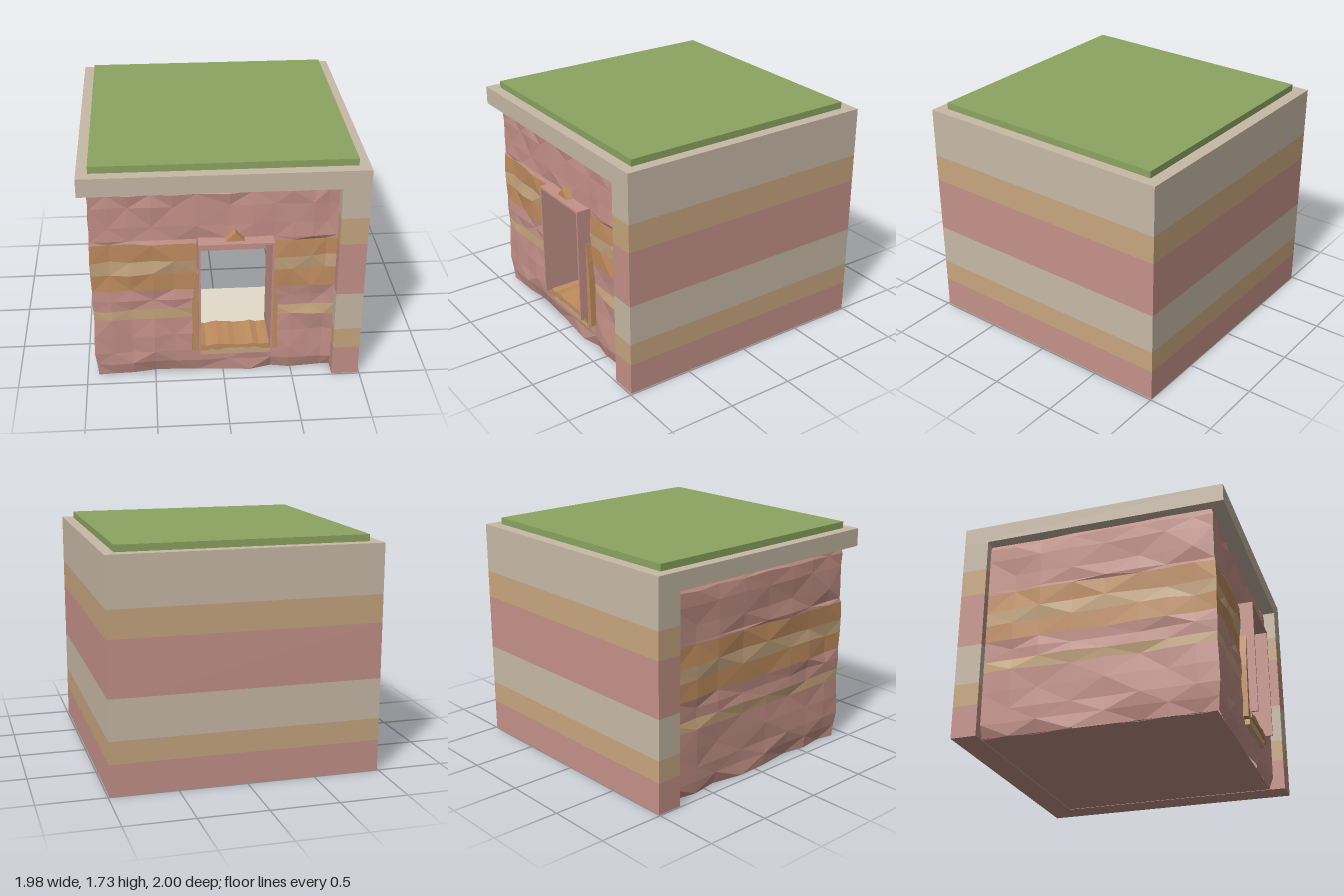
import * as THREE from 'three';

const mat = (name, color, extra = {}) => {
  const m = new THREE.MeshStandardMaterial({ color, ...extra });
  m.name = name;
  return m;
};

export function createModel() {
  const root = new THREE.Group();
  root.name = 'cliffBlock';
  const beige = mat('beigeStone', 0xc8b9a7);
  const tan = mat('tanStone', 0xc8a67f);
  const pink = mat('pinkStone', 0xc59289);
  const orange = mat('orangeStone', 0xc08d5f);
  const green = mat('grass', 0x8ca561);
  const cream = mat('creamFloor', 0xe4dccb);

  const add = (name, geo, material, parent = root) => {
    const m = new THREE.Mesh(geo, material);
    m.name = name;
    parent.add(m);
    return m;
  };
  // Box given by its two opposite corners
  const box = (name, a, b, material, parent) => {
    const g = new THREE.BoxGeometry(b[0] - a[0], b[1] - a[1], b[2] - a[2]);
    g.translate((a[0] + b[0]) / 2, (a[1] + b[1]) / 2, (a[2] + b[2]) / 2);
    return add(name, g, material, parent);
  };
  // Outline in x and y, extruded between two depths
  const slab = (name, pts, z0, z1, material, parent) => {
    const s = new THREE.Shape(pts.map(p => new THREE.Vector2(...p)));
    const g = new THREE.ExtrudeGeometry(s, { depth: z1 - z0, bevelEnabled: false });
    g.translate(0, 0, z0);
    return add(name, g, material, parent);
  };
  const noise = (i, j, k) => {
    const s = Math.sin(i * 127.1 + j * 311.7 + k * 74.7) * 43758.5453;
    return (s - Math.floor(s)) * 2 - 1;
  };

  // Layered walls along the right and the back
  const layers = [[0, 0.235, pink], [0.235, 0.4, tan], [0.4, 0.7, beige],
    [0.7, 1.11, pink], [1.11, 1.315, tan], [1.315, 1.545, beige]];
  const walls = new THREE.Group();
  walls.name = 'layeredWalls';
  root.add(walls);
  layers.forEach(([y0, y1, m], i) => {
    box('rightWallLayer' + i, [0.795, y0, -1], [0.99, y1, 0.99], m, walls);
    box('backWallLayer' + i, [-0.99, y0, -1], [0.795, y1, -0.81], m, walls);
  });

  // Roof slab and grass
  box('roofSlab', [-0.99, 1.545, -1], [0.99, 1.68, 0.99], beige);
  box('grassTop', [-0.91, 1.68, -0.91], [0.91, 1.73, 0.91], green);

  // Rough cliff skin: plan points (x, z, outward x, outward z) and rows with band colours
  const plan = [
    ...[-0.81, -0.6, -0.4, -0.15, 0.1, 0.35, 0.55, 0.75].map(z => [-0.93, z, -1, 0]),
    [-0.93, 0.9, -0.7, 0.7],
    ...[-0.8, -0.66, -0.5, -0.35, -0.19, 0.04, 0.2, 0.355, 0.48, 0.62, 0.72, 0.795].map(x => [x, 0.9, 0, 1]),
  ];
  const rows = [[0, pink], [0.1, pink], [0.2, pink], [0.34, pink], [0.49, tan], [0.57, pink],
    [0.65, pink], [0.73, orange], [0.87, tan], [0.975, orange], [1.115, pink], [1.14, pink],
    [1.25, pink], [1.4, pink], [1.5, pink], [1.54, pink]];
  const fixedRows = [0, 0.2, 1.14, 1.54];
  const point = (i, j) => {
    const [x, z, nx, nz] = plan[i];
    const y = rows[j][0];
    const end = i === 0 || i === plan.length - 1;
    let out = end ? 0 : 0.012 * noise(i, j, 1);
    if (j === 0) out -= 0.025 + 0.025 * noise(i, 0, 2);
    if (y > 1.52) out -= 0.02;
    const lift = fixedRows.includes(y) ? 0 : 0.008 * noise(i, j, 3);
    return [x + nx * out, y + lift, z + nz * out];
  };
  const skins = new Map([[pink, []], [tan, []], [orange, []]]);
  for (let i = 0; i < plan.length - 1; i++) {
    for (let j = 0; j < rows.length - 1; j++) {
      const [x, z] = plan[i], y = rows[j][0];
      const doorway = z === 0.9 && x > -0.2 && x < 0.35 && y >= 0.2 && y < 1.14;
      if (doorway) continue;
      const a = point(i, j), b = point(i + 1, j), c = point(i + 1, j + 1), d = point(i, j + 1);
      const tri = (i + j) % 2 ? [a, b, c, a, c, d] : [a, b, d, b, c, d];
      skins.get(rows[j][1]).push(...tri.flat());
    }
  }
  const cliff = new THREE.Group();
  cliff.name = 'cliff';
  root.add(cliff);
  for (const [m, pos] of skins) {
    const g = new THREE.BufferGeometry();
    g.setAttribute('position', new THREE.Float32BufferAttribute(pos, 3));
    g.computeVertexNormals();
    add('cliffBand_' + m.name, g, m, cliff);
  }
  // Underside of the cliff
  const base = new THREE.PlaneGeometry(1.7, 1.68);
  base.rotateX(Math.PI / 2);
  base.translate(-0.055, 0.003, 0.035);
  add('cliffUnderside', base, pink, cliff);

  // Door frame with deep jambs
  const door = new THREE.Group();
  door.name = 'doorway';
  root.add(door);
  box('leftJamb', [0.33, 0.27, 0.62], [0.345, 1.15, 1], pink, door);
  box('rightJamb', [-0.183, 0.27, 0.62], [-0.168, 1.15, 1], pink, door);
  box('lintel', [-0.168, 1.135, 0.62], [0.33, 1.15, 1], pink, door);

  // Carved surround either side of the frame, mirrored about the door's middle
  const mid = 0.08;
  for (const s of [-1, 1]) {
    const flare = [[0.225, 0.22], [0.31, 0.22], [0.302, 0.62], [0.29, 0.74], [0.268, 0.88], [0.255, 0.88], [0.255, 0.27], [0.225, 0.27]];
    slab(s > 0 ? 'leftSurround' : 'rightSurround', flare.map(([x, y]) => [mid + s * x, y]), 0.86, 0.94, orange, door);
  }
  slab('surroundPeak', [[0, 1.14], [0.15, 1.14], [0.075, 1.215]], 0.87, 0.96, orange, door);

  // Broken sill with a jagged upper edge
  const edge = [], lower = [];
  for (let k = 0; k <= 12; k++) {
    const x = -0.17 + k * 0.0425;
    edge.push([x, 0.272 + 0.012 * noise(k, 5, 1)]);
    lower.unshift([x, 0.235 + 0.012 * noise(k, 8, 2)]);
  }
  slab('sillEdge', [...lower, ...edge].reverse(), 0.66, 0.95, orange, door);
  box('sill', [-0.17, 0.18, 0.64], [0.34, 0.24, 0.935], tan, door);

  // Floor just inside the doorway
  box('innerFloor', [-0.55, 0.12, 0.1], [0.45, 0.2, 0.64], cream, door);

  return root;
}
